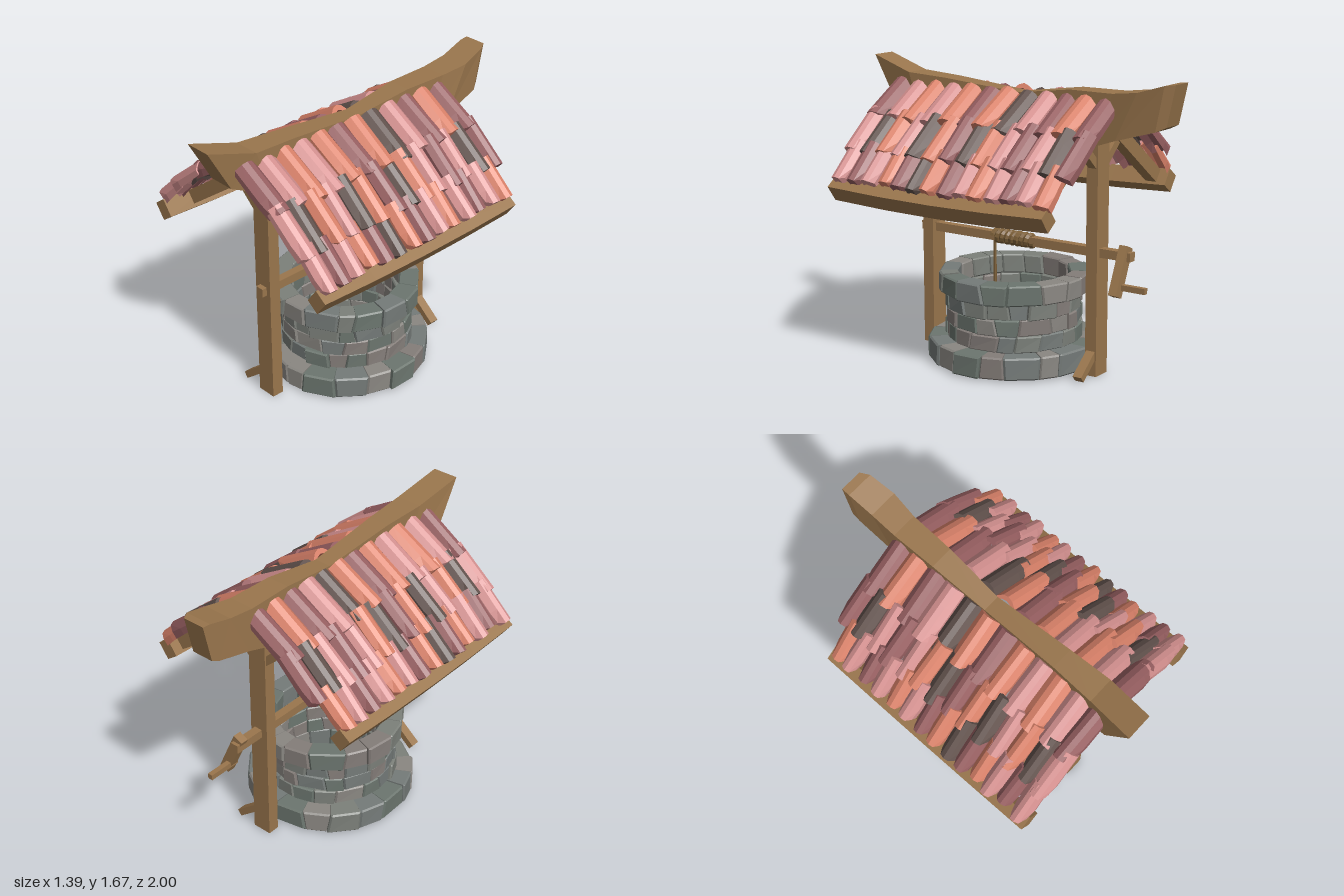
import * as THREE from 'three';

const WOOD = 0x9a764d, ROPE = 0x7d6039;
const STONES = [0x7c807a, 0x847d79, 0x6c766f, 0x8a8782, 0x757b79];
const TILES = { p: 0xd59190, s: 0xd98169, m: 0x975f61, d: 0x62524d };

export function createModel() {
  const model = new THREE.Group();
  let seed = 7;
  const rand = () => (seed = (seed * 16807) % 2147483647) / 2147483647;
  const jit = (s) => (rand() * 2 - 1) * s;

  const mats = {};
  const mat = (color) => (mats[color] ??= new THREE.MeshStandardMaterial({ color, flatShading: true }));
  const group = (name) => {
    const g = new THREE.Group();
    g.name = name;
    model.add(g);
    return g;
  };
  const add = (parent, name, geo, color) => {
    const m = new THREE.Mesh(geo, mat(color));
    m.name = name;
    parent.add(m);
    return m;
  };
  const box = (parent, name, w, h, d, x, y, z) => {
    const m = add(parent, name, new THREE.BoxGeometry(w, h, d), WOOD);
    m.position.set(x, y, z);
    return m;
  };
  // Slanted timber lying in an XY plane, running from (x0,y0) to (x1,y1)
  const timber = (parent, name, x0, y0, x1, y1, w, d, z) => {
    const m = box(parent, name, w, Math.hypot(x1 - x0, y1 - y0), d, (x0 + x1) / 2, (y0 + y1) / 2, z);
    m.rotation.z = Math.atan2(x0 - x1, y1 - y0);
    return m;
  };
  // Box reshaped by a rule on its vertices
  const shapeBox = (sx, sy, sz, rule) => {
    const g = new THREE.BoxGeometry(1, 1, 1, sx, sy, sz);
    const p = g.attributes.position;
    for (let i = 0; i < p.count; i++) p.setXYZ(i, ...rule(p.getX(i), p.getY(i), p.getZ(i)));
    g.computeVertexNormals();
    return g;
  };

  // Stone well: courses of chamfered, bent blocks with leaning joints
  const well = group('stoneWell');
  const cz = 0.04;
  const course = (name, count, rIn, rOut, y0, y1) => {
    const step = (Math.PI * 2) / count, start = rand() * step;
    const joints = Array.from({ length: count }, (_, i) => {
      const a = start + (i + jit(0.24)) * step;
      const lean = jit(0.08) * step;
      return [a - lean, a + lean];
    });
    for (let i = 0; i < count; i++) {
      const A = joints[i];
      const B = joints[(i + 1) % count].map((a) => (i === count - 1 ? a + Math.PI * 2 : a));
      const ro = rOut + jit(0.01), ri = rIn + jit(0.008), top = y1 + jit(0.004);
      const gap = 0.0015 / rOut;
      const geo = shapeBox(3, 3, 1, (x, y, z) => {
        const rim = Math.abs(x) > 0.4 || Math.abs(y) > 0.4;
        const u = 0.5 + (Math.abs(x) > 0.4 ? x : Math.sign(x) * 0.44);
        const v = 0.5 + (Math.abs(y) > 0.4 ? y : Math.sign(y) * 0.43);
        const a0 = A[0] + (A[1] - A[0]) * v + gap, a1 = B[0] + (B[1] - B[0]) * v - gap;
        const a = a0 + (a1 - a0) * u;
        const r = z > 0 ? ro - (rim ? 0.009 : 0) : ri + (rim ? 0.007 : 0);
        return [Math.sin(a) * r, y0 + (top - y0) * v, cz + Math.cos(a) * r];
      });
      add(well, name, geo, STONES[Math.floor(rand() * STONES.length)]);
    }
  };
  course('baseStone', 18, 0.32, 0.483, 0.008, 0.135);
  course('wallStone', 18, 0.305, 0.385, 0.135, 0.225);
  course('wallStone', 17, 0.305, 0.382, 0.225, 0.315);
  course('wallStone', 18, 0.305, 0.385, 0.315, 0.408);
  course('rimStone', 17, 0.315, 0.43, 0.408, 0.52);

  // Posts with rafters, braces and a single foot strut each
  const frame = group('timberFrame');
  for (const [z, foot] of [[0.61, -1], [-0.51, 1]]) {
    box(frame, 'post', 0.115, 1.32, 0.07, 0.003, 0.66, z);
    timber(frame, 'footStrut', foot * 0.02, 0.15, foot * 0.185, 0.015, 0.04, 0.055, z);
    for (const s of [-1, 1]) {
      timber(frame, 'rafter', s * 0.02, 1.435, s * 0.64, 0.985, 0.08, 0.07, z);
      timber(frame, 'brace', s * 0.03, 1.165, s * 0.19, 1.31, 0.045, 0.05, z);
    }
  }

  // Eaves beams, sagging slightly in the middle
  for (const s of [-1, 1]) {
    const c = Math.cos(0.63), n = Math.sin(0.63);
    const geo = shapeBox(1, 1, 4, (x, y, z) => {
      const px = x * 0.085, py = y * 0.105;
      const sag = 0.018 * (1 - 4 * z * z);
      return [s * (0.622 + px * c + py * n), 0.995 - px * n + py * c - sag, 0.105 + s * z * 1.42];
    });
    add(frame, 'eavesBeam', geo, WOOD);
  }

  // Crooked ridge beam: [zBottom, zTop, yBottom, yTop, xMin, xMax]
  const ridge = [
    [-0.95, -1, 1.42, 1.645, -0.08, 0.05],
    [-0.9, -0.95, 1.395, 1.64, -0.08, 0.08],
    [-0.67, -0.8, 1.33, 1.595, -0.07, 0.1],
    [-0.52, -0.64, 1.28, 1.575, -0.07, 0.08],
    [-0.35, -0.37, 1.31, 1.575, -0.065, 0.07],
    [0, -0.02, 1.32, 1.53, -0.05, 0.05],
    [0.4, 0.46, 1.31, 1.575, -0.06, 0.07],
    [0.62, 0.72, 1.31, 1.59, -0.075, 0.08],
    [0.86, 1, 1.42, 1.67, -0.115, 0.04],
  ];
  const last = ridge.length - 1;
  add(frame, 'ridgeBeam', shapeBox(1, 1, last, (x, y, z) => {
    const [zb, zt, yb, yt, x0, x1] = ridge[Math.round((z + 0.5) * last)];
    return [x < 0 ? x0 : x1, y < 0 ? yb : yt, y < 0 ? zb : zt];
  }), WOOD);

  // Roof tiles: arched slabs with worn lower corners, X along the eaves, Y down the slope
  const roof = group('roofTiles');
  const tileGeometry = (w, len) => {
    const drop = 0.036 + rand() * 0.014, chip = 0.012 + rand() * 0.016, skew = jit(0.008);
    return shapeBox(4, 3, 1, (x, y, z) => {
      const u = x * 2, edge = Math.abs(u) > 0.9;
      const v = y + 0.5;
      const corner = edge && v > 0.9 ? chip : 0;
      return [
        x * w * (0.96 + 0.04 * v) - Math.sign(u) * corner * 0.4,
        v * len - corner + skew * u * v,
        z * (0.03 + 0.014 * v) - drop * u * u,
      ];
    });
  };
  // Rows: upper edge, lower edge, z range, colours from back to front
  const rows = [
    [0.065, 1.545, 0.345, 1.37, -0.66, 0.84, 'msmpdsmspspm'],
    [0.3, 1.405, 0.535, 1.205, -0.67, 0.83, 'mdpmpsdmsdpsdp'],
    [0.485, 1.25, 0.67, 1.065, -0.61, 0.81, 'spmpspmsdmspmp'],
  ];
  for (const s of [-1, 1]) {
    for (const [x0, y0, x1, y1, z0, z1, colors] of rows) {
      const n = colors.length, step = (z1 - z0) / n;
      const len = Math.hypot(x1 - x0, y1 - y0);
      const down = new THREE.Vector3((s * (x1 - x0)) / len, (y1 - y0) / len, 0);
      const normal = new THREE.Vector3((s * (y0 - y1)) / len, (x1 - x0) / len, 0);
      const along = new THREE.Vector3().crossVectors(down, normal);
      const basis = new THREE.Matrix4().makeBasis(along, down, normal);
      for (let i = 0; i < n; i++) {
        const geo = tileGeometry(step * (1 + rand() * 0.1), len + jit(0.012));
        const tile = add(roof, 'roofTile', geo, TILES[colors[i]]);
        tile.quaternion.setFromRotationMatrix(basis);
        tile.position.set(s * x0, y0, z0 + (i + 0.5) * step + jit(0.004));
        tile.position.addScaledVector(normal, (i % 2 ? 0.005 : -0.005) + jit(0.004));
        tile.rotateZ(jit(0.04));
        tile.rotateY(jit(0.08));
      }
    }
  }

  // Windlass: axle, crank, rope coil and hanging rope
  const windlass = group('windlass');
  box(windlass, 'axle', 0.05, 0.05, 1.41, 0.008, 0.695, -0.03);
  timber(windlass, 'crankArm', 0, 0.745, 0.112, 0.492, 0.062, 0.05, -0.69);
  box(windlass, 'crankHandle', 0.03, 0.032, 0.2, 0.075, 0.54, -0.76);
  const turns = 8, coil = [];
  for (let i = 0; i <= turns * 10; i++) {
    const a = (i / 10) * Math.PI * 2;
    coil.push(new THREE.Vector3(0.008 + Math.cos(a) * 0.026, 0.695 + Math.sin(a) * 0.026, 0.165 - (i / (turns * 10)) * 0.26));
  }
  add(windlass, 'ropeCoil', new THREE.TubeGeometry(new THREE.CatmullRomCurve3(coil), turns * 12, 0.02, 6), ROPE);
  const rope = add(windlass, 'hangingRope', new THREE.CylinderGeometry(0.01, 0.01, 0.56, 6), ROPE);
  rope.position.set(0.012, 0.415, 0.166);

  return model;
}
